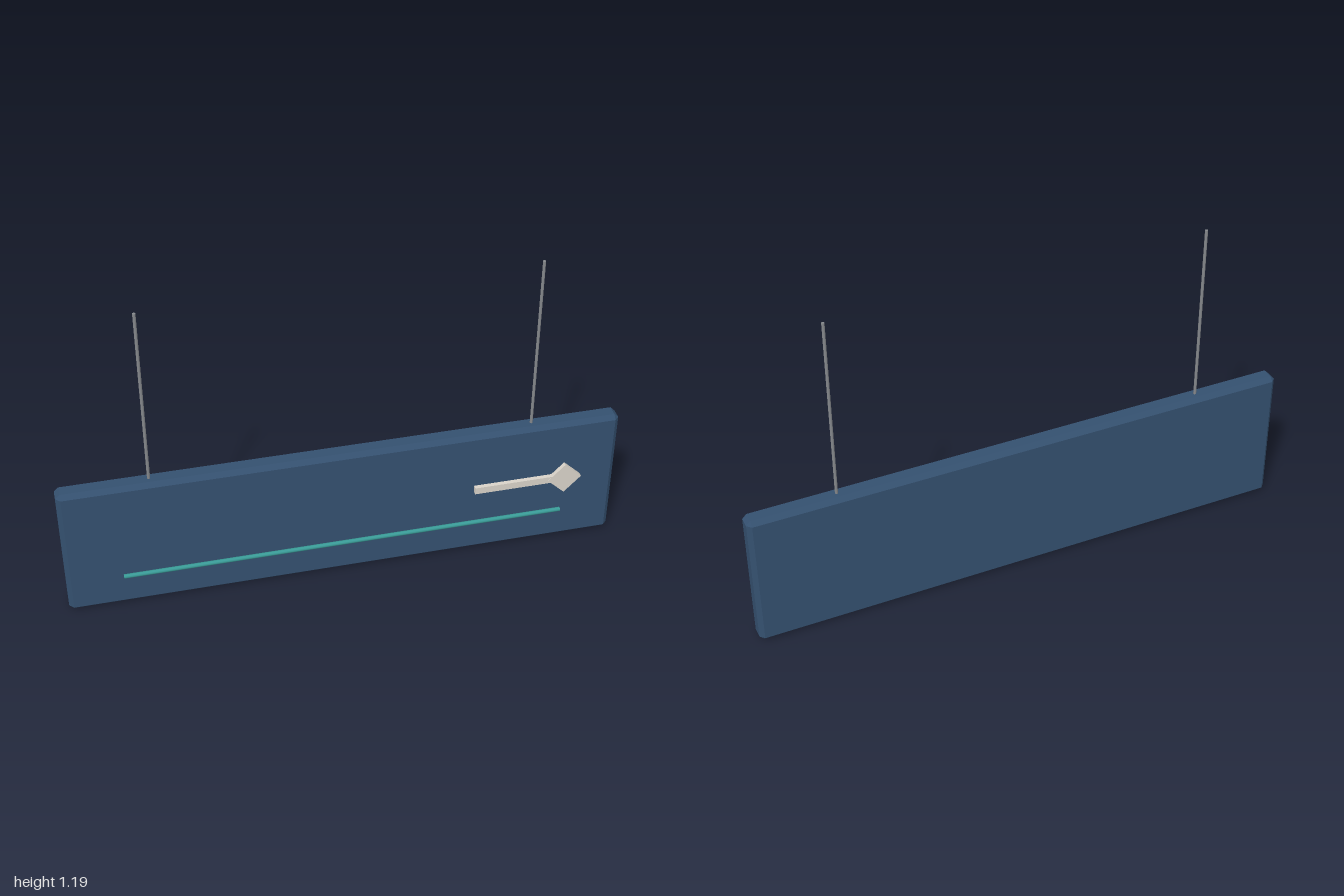
import * as THREE from 'three';
import { ConvexGeometry } from 'three/addons/geometries/ConvexGeometry.js';

// Box with every edge and corner cut by c
function chamferedBox(w, h, d, c) {
  const [x, y, z] = [w / 2, h / 2, d / 2];
  const points = [];
  for (const sx of [-1, 1]) for (const sy of [-1, 1]) for (const sz of [-1, 1]) {
    points.push(
      new THREE.Vector3(sx * x, sy * (y - c), sz * (z - c)),
      new THREE.Vector3(sx * (x - c), sy * y, sz * (z - c)),
      new THREE.Vector3(sx * (x - c), sy * (y - c), sz * z)
    );
  }
  return new ConvexGeometry(points);
}

export function createModel() {
  const model = new THREE.Group();
  model.name = 'hangingSign';

  const material = (color) => new THREE.MeshStandardMaterial({ color });
  const blue = material(0x34506f);
  const teal = material(0x3a9c98);
  const cream = material(0xd8d2c8);
  const steel = material(0x85888c);

  const add = (name, geometry, mat, x, y, z, parent = model) => {
    const mesh = new THREE.Mesh(geometry, mat);
    mesh.name = name;
    mesh.position.set(x, y, z);
    parent.add(mesh);
    return mesh;
  };

  // Bevelled sign panel
  add('panel', chamferedBox(2, 0.52, 0.073, 0.016), blue, 0, 0.26, -0.0165);

  // Hanging rods, one near each end
  for (const side of [-1, 1]) {
    add(side < 0 ? 'rightRod' : 'leftRod',
      new THREE.CylinderGeometry(0.0055, 0.0055, 0.68, 8), steel, side * 0.68, 0.85, -0.0165);
  }

  // Thin accent strip across the lower front
  const strip = add('accentStrip', new THREE.CylinderGeometry(0.008, 0.008, 1.6, 8), teal, 0, 0.135, 0.03);
  strip.rotation.z = Math.PI / 2;

  // Arrow: flat shaft and a square head turned on its corner
  const arrow = new THREE.Group();
  arrow.name = 'arrow';
  model.add(arrow);
  add('arrowShaft', new THREE.BoxGeometry(0.3, 0.027, 0.016), cream, 0.615, 0.298, 0.043, arrow);
  const head = add('arrowHead', new THREE.BoxGeometry(0.088, 0.088, 0.016), cream, 0.799, 0.297, 0.0445, arrow);
  head.rotation.z = 0.8;

  return model;
}
